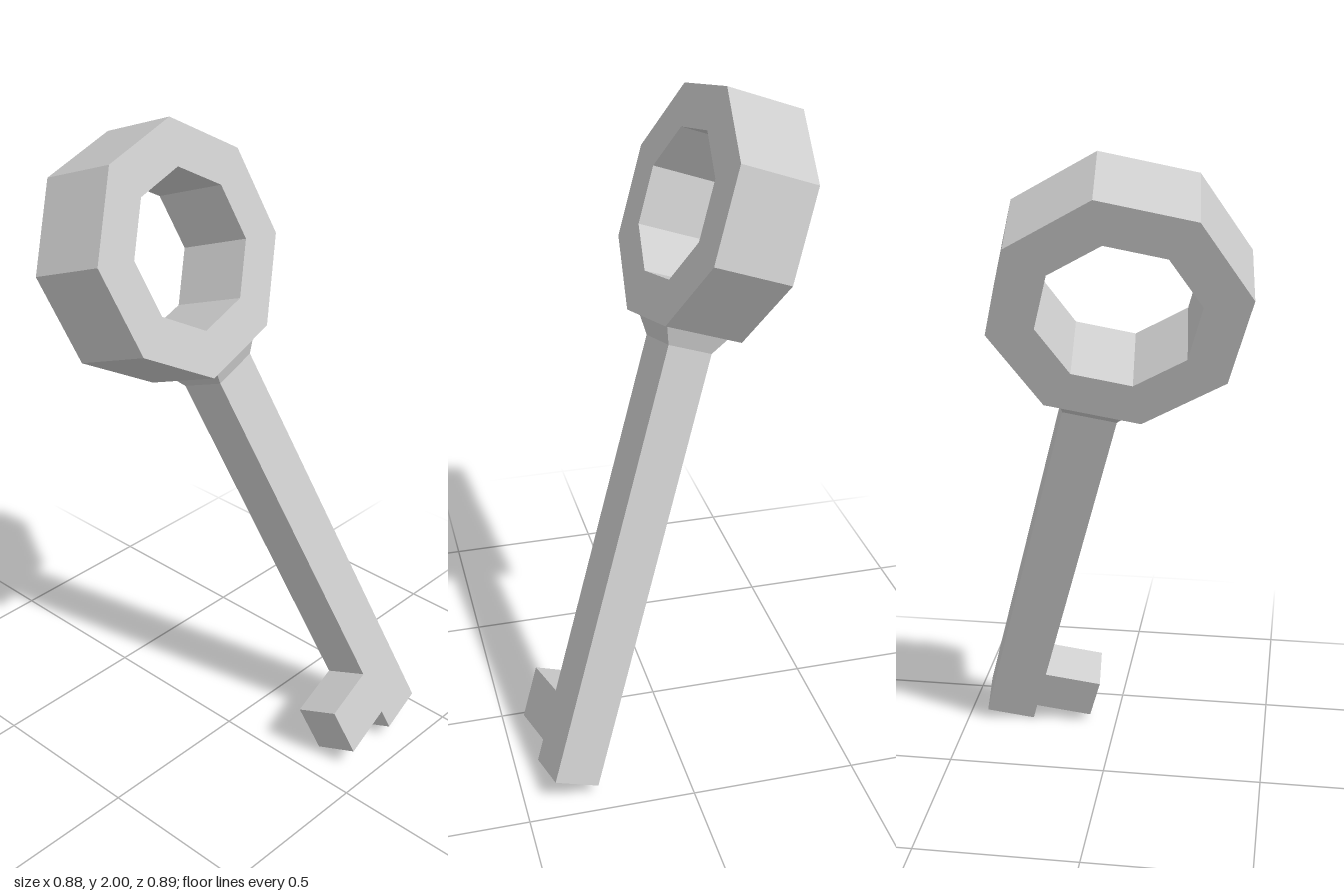
import * as THREE from 'three';

const material = new THREE.MeshStandardMaterial({ color: 0xcccccc, flatShading: true });

// Extrude a flat outline, centred on its thickness
function slab(shape, depth) {
  const g = new THREE.ExtrudeGeometry(shape, { depth, bevelEnabled: false });
  return g.translate(0, 0, -depth / 2);
}

// Octagon corners with flat sides at top and bottom
function octagon(radius) {
  return Array.from({ length: 8 }, (_, i) => {
    const a = (i + 0.5) * Math.PI / 4;
    return new THREE.Vector2(Math.cos(a) * radius, Math.sin(a) * radius);
  });
}

function addPart(group, name, geometry) {
  const mesh = new THREE.Mesh(geometry, material);
  mesh.name = name;
  group.add(mesh);
}

export function createModel() {
  const group = new THREE.Group();
  group.name = 'key';

  // Key built upright around the centre of its ring
  const key = new THREE.Group();
  key.name = 'tiltedKey';
  group.add(key);

  // Octagonal ring handle
  const ring = new THREE.Shape(octagon(0.363));
  ring.holes.push(new THREE.Path(octagon(0.228).reverse()));
  addPart(key, 'ringHandle', slab(ring, 0.246));

  // Flared collar between ring and shaft
  const w = 0.079, t = 0.07, collarBottom = -0.39, ringBottom = -0.335;
  const collar = new THREE.BoxGeometry(2, ringBottom - collarBottom, 2);
  const p = collar.attributes.position;
  for (let i = 0; i < p.count; i++) {
    const top = p.getY(i) > 0;
    p.setX(i, p.getX(i) * (top ? 0.1 : w));
    p.setZ(i, p.getZ(i) * (top ? 0.1 : t));
  }
  collar.translate(0, (ringBottom + collarBottom) / 2, 0);
  collar.computeVertexNormals();
  addPart(key, 'collar', collar);

  // Shaft with the bit as one stepped outline
  const outline = [
    [w, collarBottom], [-w, collarBottom], [-w, -1.5], [-0.262, -1.5],
    [-0.262, -1.66], [-w, -1.66], [-w, -1.726], [w, -1.726],
  ].map(([x, y]) => new THREE.Vector2(x, y));
  addPart(key, 'shaftAndBit', slab(new THREE.Shape(outline), 2 * t));

  // Lean the whole key into place
  const along = new THREE.Vector3(-0.32, 0.913, 0.252).normalize();
  const across = new THREE.Vector3(0.935, 0.345, -0.081);
  const side = new THREE.Vector3().crossVectors(along, across).normalize();
  across.crossVectors(side, along);
  key.quaternion.setFromRotationMatrix(new THREE.Matrix4().makeBasis(side, along, across));
  key.position.set(-0.195, 1.623, 0.072);

  return group;
}
